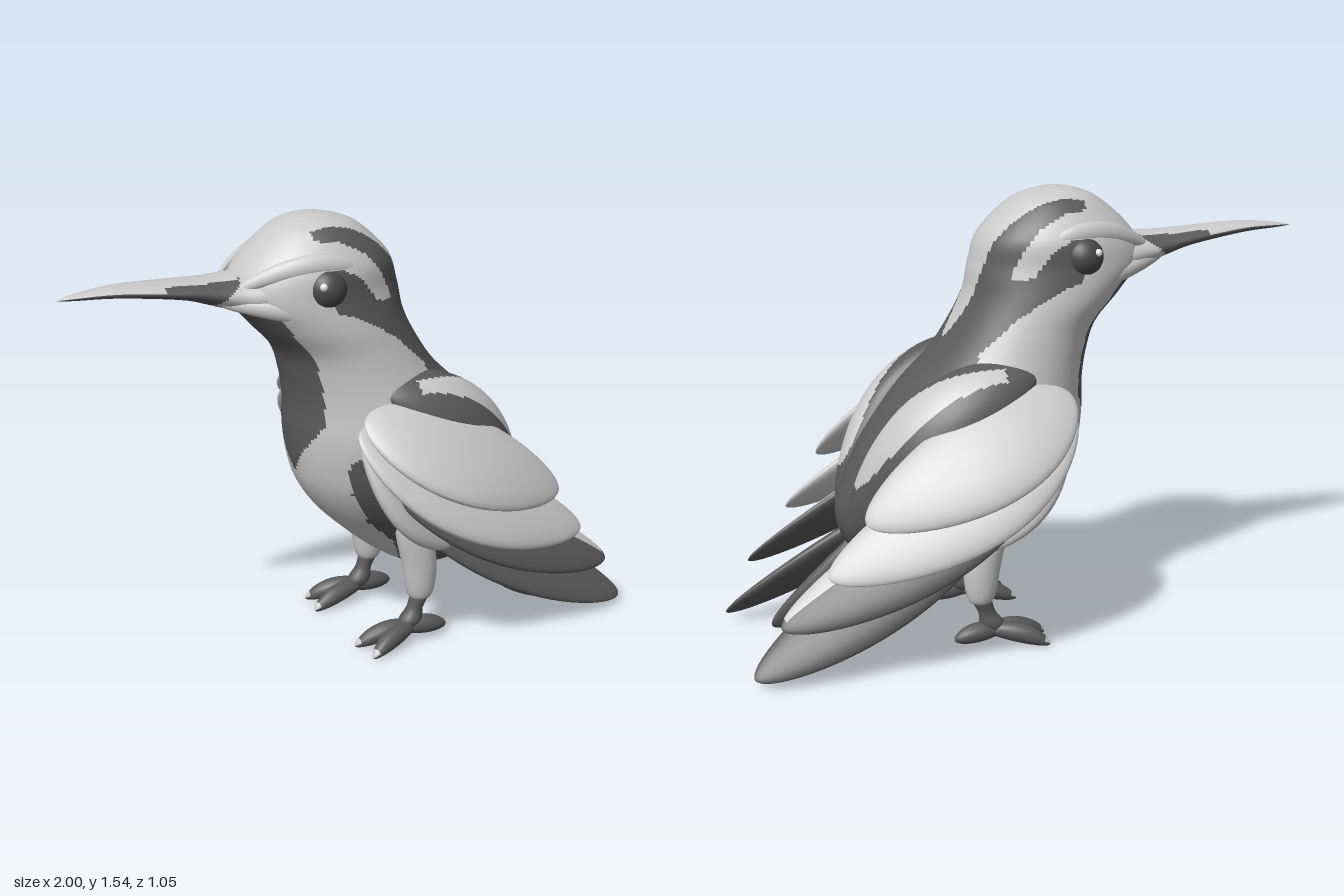
import * as THREE from 'three';

const mat = (name, color) => Object.assign(new THREE.MeshStandardMaterial({ color }), { name });

// Closed loft: f(t) gives [x, y, z, a, b]; each ring is an ellipse on the fixed axes u and v.
// pick(point, angle, t) returns the material index of a face.
function loft(f, u, v, rows, cols, pick = () => 0) {
  const pos = [], faces = [[], []];
  const rings = [];
  for (let i = 0; i <= rows; i++) rings.push(f(i / rows));
  for (const [x, y, z, a, b] of rings) {
    for (let j = 0; j < cols; j++) {
      const q = (j / cols) * Math.PI * 2, c = Math.cos(q) * a, s = Math.sin(q) * b;
      pos.push(x + u.x * c + v.x * s, y + u.y * c + v.y * s, z + u.z * c + v.z * s);
    }
  }
  const along = new THREE.Vector3(...rings[rows].slice(0, 3)).sub(new THREE.Vector3(...rings[0].slice(0, 3)));
  const flip = new THREE.Vector3().crossVectors(u, v).dot(along) < 0;
  const p = new THREE.Vector3(), corner = new THREE.Vector3();
  for (let i = 0; i < rows; i++) {
    for (let j = 0; j < cols; j++) {
      const k = (j + 1) % cols;
      const a = i * cols + j, b = i * cols + k, c = a + cols, d = b + cols;
      p.set(0, 0, 0);
      for (const n of [a, b, c, d]) p.addScaledVector(corner.fromArray(pos, n * 3), 0.25);
      const quad = flip ? [a, c, b, b, c, d] : [a, b, c, b, d, c];
      faces[pick(p, ((j + 0.5) / cols) * Math.PI * 2, (i + 0.5) / rows)].push(...quad);
    }
  }
  const g = new THREE.BufferGeometry();
  g.setAttribute('position', new THREE.Float32BufferAttribute(pos, 3));
  g.setIndex([...faces[0], ...faces[1]]);
  g.addGroup(0, faces[0].length, 0);
  g.addGroup(faces[0].length, faces[1].length, 1);
  g.computeVertexNormals();
  return g;
}

// Smooth interpolation through a list of [x, y, z, a, b] stations
function through(stations) {
  const c = new THREE.CatmullRomCurve3(stations.map(s => new THREE.Vector3(s[0], s[1], s[2])), false, 'catmullrom', 0.5);
  const r = new THREE.CatmullRomCurve3(stations.map(s => new THREE.Vector3(s[3], s[4], 0)), false, 'catmullrom', 0.5);
  return t => {
    const p = c.getPoint(t), q = r.getPoint(t);
    return [p.x, p.y, p.z, Math.max(q.x, 0), Math.max(q.y, 0)];
  };
}

// Round-ended flat petal along a bent line; 'across' is its width direction
function petal(side, [from, bend, to], width, thick, across, pick, rows = 44, cols = 28) {
  const P = a => new THREE.Vector3(a[0], a[1], a[2] * side);
  const curve = new THREE.QuadraticBezierCurve3(P(from), P(bend), P(to));
  const d = P(to).sub(P(from)).normalize();
  const u = P(across);
  u.addScaledVector(d, -u.dot(d)).normalize();
  const v = new THREE.Vector3().crossVectors(d, u).multiplyScalar(side).normalize();
  const f = t => {
    const e = (1 - Math.cos(Math.PI * t)) / 2, c = curve.getPoint(e);
    const k = Math.pow(Math.max(Math.sin(Math.PI * Math.pow(e, 0.95)), 0), 0.55);
    return [c.x, c.y, c.z, width * k, thick * k];
  };
  return loft(f, u, v, rows, cols, pick);
}

function inside(x, y, poly) {
  let hit = false;
  for (let i = 0, j = poly.length - 1; i < poly.length; j = i++) {
    const [ax, ay] = poly[i], [bx, by] = poly[j];
    if (ay > y !== by > y && x < ((bx - ax) * (y - ay)) / (by - ay) + ax) hit = !hit;
  }
  return hit;
}

// Plumage areas seen from the side
const MANTLE = [[-0.18, 1.6], [-0.18, 1.36], [-0.14, 1.26], [-0.05, 1.23], [0.08, 1.15], [0.2, 1.04], [0.27, 0.92],
  [0, 0.82], [-0.09, 0.72], [-0.07, 0.61], [0.01, 0.48], [0.13, 0.37], [0.3, 0.1], [1, 0.1], [1, 1.6]];
const BROW = [[-0.5, 1.3], [-0.4, 1.4], [-0.2, 1.485], [-0.1, 1.475], [-0.01, 1.43], [0.05, 1.36], [0.09, 1.28],
  [0.07, 1.265], [0.02, 1.28], [-0.04, 1.36], [-0.12, 1.4], [-0.25, 1.36]];

function plumage(p) {
  const z = Math.abs(p.z);
  const crown = 0.118 * Math.pow(Math.max(p.y - 1.06, 0) / 0.45, 0.55);
  if (z < crown && (p.y > 1.35 || p.x > 0)) return 0;
  if (p.x < -0.05 && p.y < 1.27 && z < 0.16 * Math.min(1, (p.y - 0.65) * 5)) return 1;
  if (inside(p.x, p.y, BROW)) return 0;
  return inside(p.x, p.y, MANTLE) ? 1 : 0;
}

// Beak is pale along the ridge and tip, and where the face feathers meet it
function beakColour(p, q) {
  const face = p.x > -0.4 - (1.37 - p.y) * 1.4 && p.y > 1.295 - (p.x + 0.49) * 0.25;
  const ridge = Math.cos(q) > 0.1 && (p.x < -0.66 || Math.abs(p.z) < 0.055);
  return face || ridge ? 0 : 1;
}

export function createModel() {
  const bird = new THREE.Group();
  bird.name = 'bird';
  const light = mat('lightPlumage', 0xcacaca), dark = mat('darkPlumage', 0x5a5a5a);
  const eyeMat = mat('eyeDark', 0x484848), glint = mat('eyeGlint', 0xf4f4f4);
  const both = [light, dark];
  const add = (name, geo, m) => {
    const mesh = new THREE.Mesh(geo, m);
    mesh.name = name;
    bird.add(mesh);
    return mesh;
  };
  const X = new THREE.Vector3(1, 0, 0), Y = new THREE.Vector3(0, 1, 0), Z = new THREE.Vector3(0, 0, 1);

  // Head and body in level slices: height, front x, rear x, half width
  const slices = [[1.545, -0.12, -0.12, 0], [1.535, -0.19, -0.05, 0.07], [1.5, -0.27, 0.04, 0.14], [1.4, -0.38, 0.145, 0.208],
    [1.3, -0.42, 0.18, 0.222], [1.2, -0.345, 0.2, 0.238], [1.1, -0.255, 0.25, 0.245], [1.0, -0.22, 0.32, 0.26],
    [0.9, -0.205, 0.42, 0.285], [0.8, -0.205, 0.5, 0.305], [0.7, -0.195, 0.57, 0.305], [0.6, -0.165, 0.62, 0.295],
    [0.5, -0.1, 0.655, 0.26], [0.4, 0, 0.64, 0.2], [0.3, 0.12, 0.57, 0.13], [0.23, 0.24, 0.47, 0.075], [0.215, 0.36, 0.36, 0]];
  add('headAndBody', loft(through(slices.map(([y, f, r, w]) => [(f + r) / 2, y, 0, (r - f) / 2, w])), X, Z, 190, 150, plumage), both);

  // Beak
  const beak = [[-0.2, 1.33, 0, 0.06, 0.17], [-0.34, 1.312, 0, 0.07, 0.148], [-0.42, 1.317, 0, 0.058, 0.12], [-0.5, 1.33, 0, 0.043, 0.102],
    [-0.6, 1.347, 0, 0.029, 0.088], [-0.8, 1.366, 0, 0.019, 0.053], [-0.94, 1.364, 0, 0.009, 0.02], [-1, 1.36, 0, 0, 0]];
  add('beak', loft(through(beak), Y, Z, 60, 48, beakColour), both);

  const lean = [0.35, 0.68, -0.7], flat = [0.4, 0.6, -0.7];
  // Pale band beside the inner edge of a dark feather
  const stripe = (p, q, t) => (t > 0.58 && t < 0.9 && Math.cos(q) > 0.5 && Math.cos(q) < 0.96 && Math.sin(q) > 0 ? 0 : 1);
  for (const s of [1, -1]) {
    const side = s > 0 ? 'left' : 'right';
    const put = (name, m, ...shape) => add(side + name, petal(s, ...shape), m);

    // Shoulder lobe with a pale oval
    const oval = p => {
      const y = p.y - 0.8, z = Math.abs(p.z) - 0.197;
      const l = y * 0.925 + z * 0.38, w = z * 0.925 - y * 0.38;
      return p.x > 0.14 && (l / 0.215) ** 2 + (w / 0.072) ** 2 < 1 ? 0 : 1;
    };
    put('Shoulder', both, [[0.02, 0.99, 0.225], [0.42, 0.87, 0.295], [0.63, 0.42, 0.08]], 0.145, 0.1, [0.5, 0.5, -0.7], oval, 84, 80);

    // Wing feathers from the top layer down
    put('UpperWing', light, [[-0.08, 0.9, 0.3], [0.2, 0.78, 0.455], [0.64, 0.565, 0.385]], 0.175, 0.045, lean);
    put('MiddleWing', light, [[-0.09, 0.85, 0.28], [0.2, 0.6, 0.42], [0.76, 0.385, 0.36]], 0.17, 0.045, lean);
    put('LowerWing', both, [[-0.03, 0.75, 0.25], [0.32, 0.46, 0.35], [0.91, 0.215, 0.315]], 0.155, 0.04, flat, stripe);
    put('WingTip', dark, [[0.1, 0.56, 0.18], [0.5, 0.28, 0.24], [1, 0.04, 0.29]], 0.14, 0.04, flat);
    put('FlankFeather', light, [[-0.07, 0.82, 0.26], [0.01, 0.52, 0.37], [0.26, 0.385, 0.29]], 0.06, 0.035, lean);
    put('TailFeather', dark, [[0.4, 0.48, 0.06], [0.58, 0.17, 0.1], [0.86, 0.025, 0.15]], 0.105, 0.045, [0.5, 0.8, -0.3]);

    // Face ridges
    put('Brow', light, [[-0.44, 1.33, 0.07], [-0.19, 1.48, 0.225], [0, 1.37, 0.18]], 0.034, 0.022, [0, 1, -0.3], () => 0, 30, 20);
    put('Cheek', light, [[-0.5, 1.304, 0.05], [-0.25, 1.27, 0.215], [0, 1.19, 0.19]], 0.032, 0.024, [0, 1, 0], () => 0, 30, 20);

    // Eye
    const eye = add(side + 'Eye', new THREE.SphereGeometry(0.07, 28, 20), eyeMat);
    eye.position.set(-0.155, 1.335, s * 0.176);
    const spark = add(side + 'EyeGlint', new THREE.SphereGeometry(0.013, 12, 8), glint);
    spark.position.set(-0.19, 1.355, s * 0.232);

    // Leg: pale thigh, dark shin and toes
    const zl = s * 0.19;
    add(side + 'Thigh', loft(through([[0.17, 0.5, zl, 0, 0], [0.17, 0.45, zl, 0.06, 0.05], [0.2, 0.3, zl, 0.064, 0.055],
      [0.205, 0.18, zl, 0.045, 0.04], [0.205, 0.16, zl, 0, 0]]), X, Z, 24, 24), light);
    add(side + 'Shin', loft(through([[0.22, 0.22, zl, 0, 0], [0.21, 0.19, zl, 0.034, 0.03], [0.185, 0.13, zl, 0.03, 0.028],
      [0.165, 0.08, zl, 0.042, 0.036], [0.16, 0.035, zl, 0, 0]]), X, Z, 20, 16), dark);
    const toes = [[-0.035, 0.012, 0.155], [-0.02, 0.012, 0.265], [0.305, 0.045, 0.205]];
    toes.forEach(([x, y, z], i) => {
      const claw = (p, q, t) => (i < 2 && t > 0.78 && Math.cos(q) > 0.2 ? 0 : 1);
      const path = [[0.19 - (i === 2 ? 0.08 : 0), 0.065, 0.19], [(x + 0.16) / 2, 0.065, (z + 0.19) / 2], [x, y, z]];
      put('Toe' + (i + 1), both, path, 0.034, 0.034, [0, 1, 0], claw, 24, 14);
    });
  }
  return bird;
}
